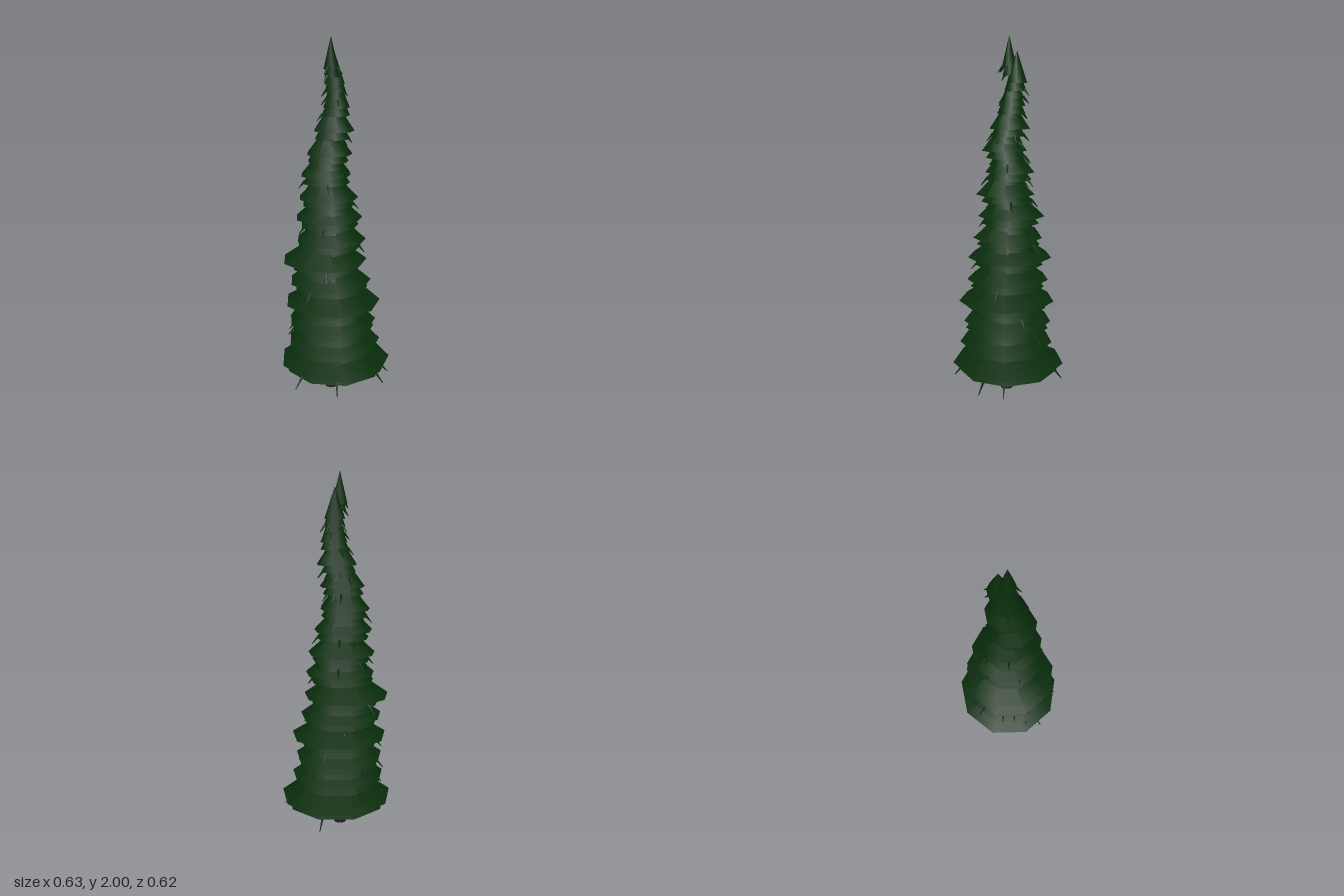
import * as THREE from 'three';

const needleGreen = new THREE.MeshStandardMaterial({ name: 'needleGreen', color: 0x082c0b });
const barkBrown = new THREE.MeshStandardMaterial({ name: 'barkBrown', color: 0x291d1d });

const TIER_HEIGHT = 0.17;
const BASE_Y = 0.14;
const STEP = 0.0403;
const TIERS = 43;

// Wide tiers, every third one from the bottom up: centre x, centre z, radius
const WIDE = [
  [0, 0.009, 0.318], [-0.012, 0.016, 0.265], [-0.016, 0.005, 0.249], [-0.017, 0.01, 0.271],
  [-0.025, -0.002, 0.231], [-0.047, -0.027, 0.239], [-0.02, 0, 0.195], [-0.02, -0.023, 0.188],
  [-0.04, 0.004, 0.164], [-0.04, -0.024, 0.138], [-0.037, 0.011, 0.125], [0, -0.002, 0.111],
  [0.018, -0.006, 0.073], [0.023, -0.033, 0.056],
];

// Special tiers: the foot and the two at the tip
const SPECIAL = { 0: [0, 0.009, 0.285], 41: [-0.01, -0.008, 0.039], 42: [-0.015, -0.007, 0.041] };

// Small seeded generator for the twigs
let seed = 7;
const rand = () => {
  seed = (seed * 16807) % 2147483647;
  return seed / 2147483647;
};

// Centre and radius of tier k; the narrower tiers sit between the wide ones
function tierShape(k) {
  if (SPECIAL[k]) return SPECIAL[k];
  const f = (k - 1) / 3;
  const low = Math.floor(f);
  if (k % 3 === 1) return WIDE[low];
  const a = WIDE[low];
  const b = WIDE[low + 1];
  const x = THREE.MathUtils.lerp(a[0], b[0], f - low);
  const z = THREE.MathUtils.lerp(a[1], b[1], f - low);
  const radius = 0.257 * (1 - 0.84 * Math.pow(k / (TIERS - 1), 1.2));
  return [x, z, radius * (k % 3 === 0 ? 1 : 0.9)];
}

// Thin twig drooping outward from the rim of a tier
function makeTwig(x, y, z, radius, angle, length) {
  const out = new THREE.Vector3(Math.sin(angle), 0, Math.cos(angle));
  const dir = out.clone().multiplyScalar(0.65).setY(-0.76).normalize();
  const twig = new THREE.Mesh(new THREE.CylinderGeometry(0.002, 0.008, length, 5), needleGreen);
  twig.name = 'twig';
  twig.quaternion.setFromUnitVectors(new THREE.Vector3(0, 1, 0), dir);
  twig.position.set(x, y, z).addScaledVector(out, radius * 0.92).addScaledVector(dir, length * 0.4);
  return twig;
}

export function createModel() {
  const tree = new THREE.Group();
  tree.name = 'firTree';

  // Trunk
  const trunk = new THREE.Mesh(new THREE.CylinderGeometry(0.012, 0.037, 1.3, 9), barkBrown);
  trunk.name = 'trunk';
  trunk.position.set(-0.023, 0.65, 0.006);
  tree.add(trunk);

  const foliage = new THREE.Group();
  foliage.name = 'foliage';
  const twigs = new THREE.Group();
  twigs.name = 'twigs';
  tree.add(foliage, twigs);

  for (let k = 0; k < TIERS; k++) {
    const [x, z, radius] = tierShape(k);
    const y = BASE_Y + k * STEP;

    // Nine-sided cone of needles
    const tier = new THREE.Mesh(new THREE.ConeGeometry(radius, TIER_HEIGHT, 9), needleGreen);
    tier.name = 'needleTier';
    tier.rotation.y = Math.PI;
    tier.position.set(x, y + TIER_HEIGHT / 2, z);
    foliage.add(tier);

    // Twigs: a fixed set at the foot, scattered ones above
    if (k === 0) {
      for (const a of [-1.35, -0.52, 0.53, 0.99, 2.49]) twigs.add(makeTwig(x, y, z, radius, a, 0.085));
    } else if (k % 3 !== 1) {
      for (let i = 0; i < 3; i++) {
        const length = 0.04 + 0.12 * radius;
        twigs.add(makeTwig(x, y + 0.005, z, radius, rand() * Math.PI * 2, length));
      }
    }
  }
  return tree;
}
